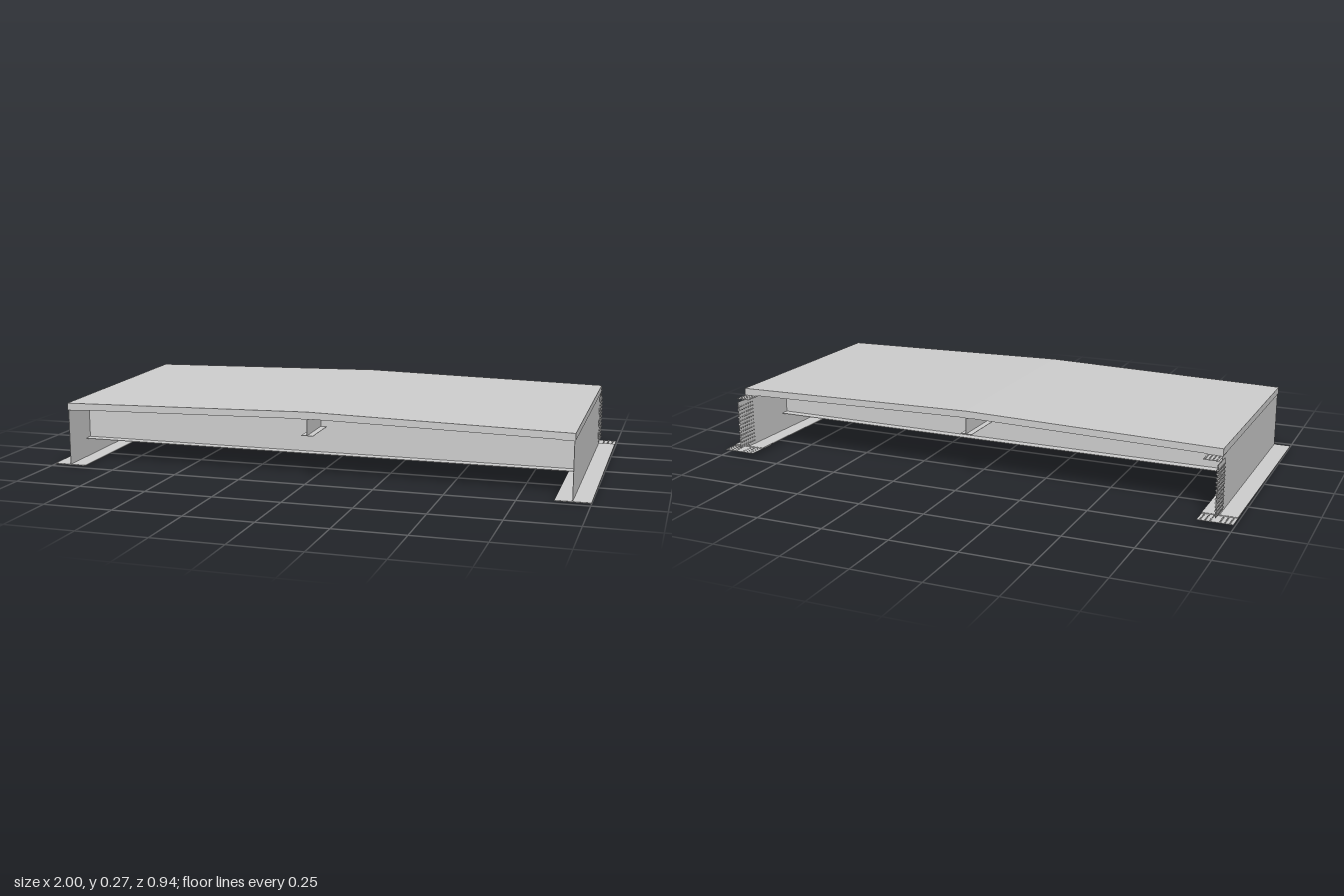
import * as THREE from 'three';
import { mergeGeometries } from 'three/addons/utils/BufferGeometryUtils.js';

const FRONT = 0.471, BACK = -0.405, HALF = 0.94;
const RISE = 0.0162, CROWN = 0.019;

// Rule shared by all parts: the span climbs towards the back, and the deck level is crowned at x = 0.
function place(geo) {
  const p = geo.attributes.position;
  for (let i = 0; i < p.count; i++) {
    const x = p.getX(i), y = p.getY(i), z = p.getZ(i);
    const crown = y > 0.145 ? CROWN * Math.max(0, 1 - Math.abs(x) / HALF) : 0;
    p.setY(i, y + RISE * (FRONT - z) + crown);
  }
  const flat = geo.toNonIndexed();
  flat.computeVertexNormals();
  return flat;
}

// Box given by its limits, split at mid width so it can fold along the crown.
function block(x0, x1, y0, y1, z0, z1) {
  const g = new THREE.BoxGeometry(x1 - x0, y1 - y0, z1 - z0, 2, 1, 1);
  g.translate((x0 + x1) / 2, (y0 + y1) / 2, (z0 + z1) / 2);
  return place(g);
}

function bolt(x, y, z, length, alongX) {
  const g = new THREE.CylinderGeometry(0.0024, 0.0024, length, 6);
  if (alongX) g.rotateZ(Math.PI / 2);
  g.translate(x, y, z);
  return place(g);
}

export function createModel() {
  const model = new THREE.Group();
  model.name = 'bridgeSpan';
  const material = new THREE.MeshStandardMaterial({ color: 0xcccccc, flatShading: true });
  const add = (name, geo, parent = model) => {
    const mesh = new THREE.Mesh(geo, material);
    mesh.name = name;
    parent.add(mesh);
  };

  // Crowned deck slab
  add('deckSlab', block(-HALF, HALF, 0.2115, 0.2368, BACK, FRONT));

  // Side girders with bolted splices at the back
  for (const side of [1, -1]) {
    const girder = new THREE.Group();
    girder.name = side > 0 ? 'leftGirder' : 'rightGirder';
    model.add(girder);
    const part = (name, a, b, ...rest) =>
      add(name, block(Math.min(side * a, side * b), Math.max(side * a, side * b), ...rest), girder);

    part('girderWeb', 0.9355, 0.937, 0.002, 0.2115, BACK, FRONT);
    part('bottomFlange', 0.875, 1, 0, 0.003, BACK, FRONT);
    part('topFlange', 0.885, 0.939, 0.21, 0.2115, BACK, FRONT);
    part('outerWebSplice', 0.937, 0.938, 0.01, 0.195, -0.46, -0.365);
    part('innerWebSplice', 0.9345, 0.9355, 0.01, 0.195, -0.46, -0.365);
    part('bottomSplice', 0.875, 1, -0.0015, 0, -0.471, -0.345);
    part('topSplice', 0.885, 0.939, 0.2085, 0.21, -0.46, -0.35);

    const webBolts = [], flangeBolts = [];
    for (let c = 0; c < 7; c++) {
      const z = -0.371 - c * 0.0142;
      for (let r = 0; r < 12; r++) webBolts.push(bolt(side * 0.93625, 0.019 + r * 0.0143, z, 0.011, true));
      for (const x of [0.892, 0.905, 0.918, 0.931]) flangeBolts.push(bolt(side * x, 0.2092, z, 0.006, false));
    }
    for (let c = 0; c < 9; c++)
      for (const x of [0.887, 0.904, 0.921, 0.954, 0.971, 0.988])
        flangeBolts.push(bolt(side * x, 0, -0.351 - c * 0.0142, 0.006, false));
    add('webBolts', mergeGeometries(webBolts), girder);
    add('flangeBolts', mergeGeometries(flangeBolts), girder);
  }

  // Cross beams: level bottom flange, crowned top
  for (const z of [0.31, -0.13]) {
    const y = 0.073, beam = new THREE.Group();
    beam.name = 'crossBeam';
    model.add(beam);
    add('beamWeb', block(-0.9355, 0.9355, y, 0.2115, z - 0.0015, z + 0.0015), beam);
    add('beamBottomFlange', block(-0.9355, 0.9355, y, y + 0.002, z - 0.035, z + 0.035), beam);
    add('beamTopFlange', block(-0.9355, 0.9355, 0.2095, 0.2115, z - 0.035, z + 0.035), beam);
  }

  // Shallow stringer along the centre line
  const stringer = new THREE.Group();
  stringer.name = 'centreStringer';
  model.add(stringer);
  add('stringerWeb', block(-0.001, 0.001, 0.151, 0.2115, BACK, FRONT), stringer);
  add('stringerBottomFlange', block(-0.022, 0.022, 0.15, 0.1515, BACK, FRONT), stringer);
  add('stringerTopFlange', block(-0.022, 0.022, 0.21, 0.2115, BACK, FRONT), stringer);

  return model;
}
